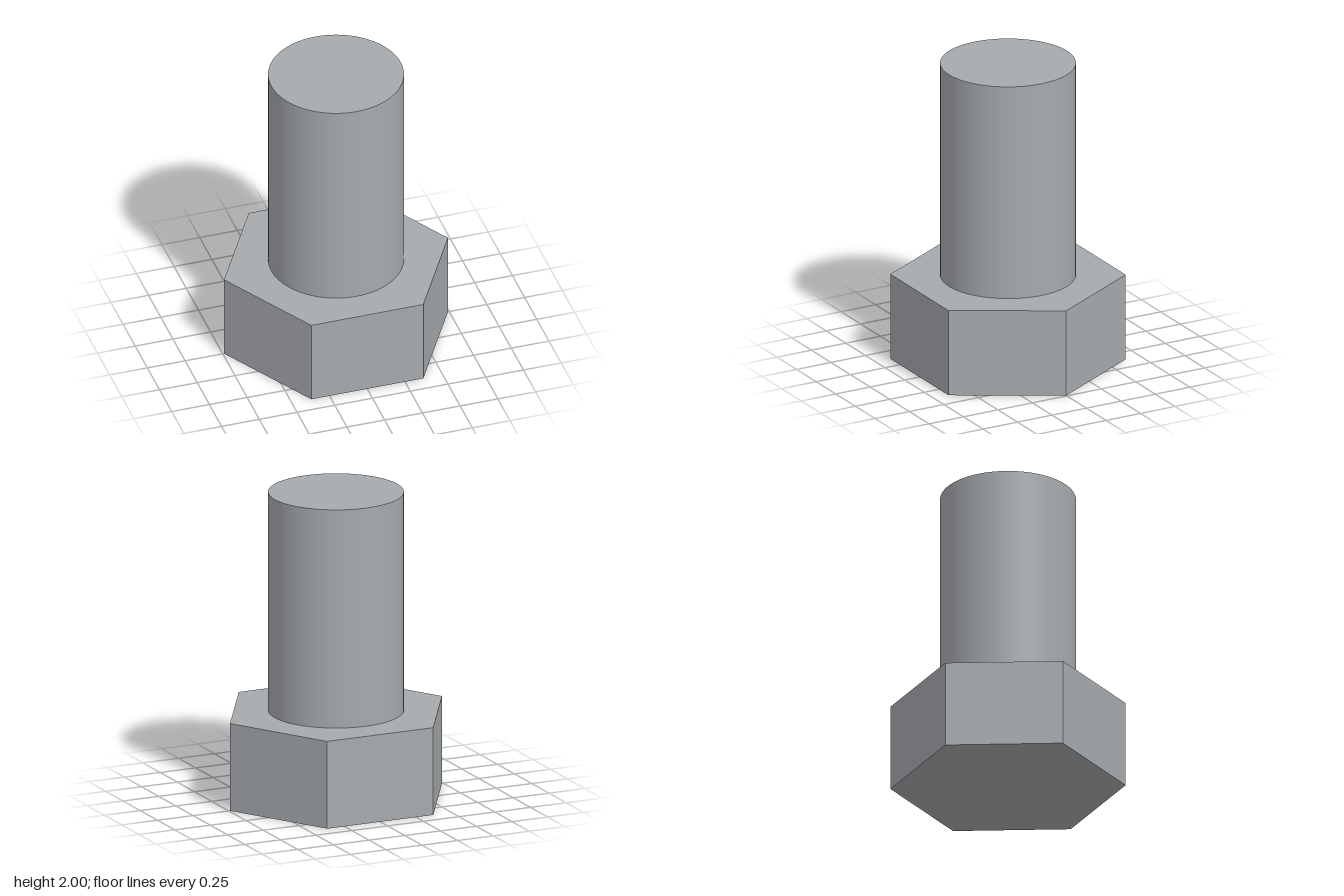
import * as THREE from 'three';

export function createModel() {
  const model = new THREE.Group();
  model.name = 'hexBolt';

  const headHeight = 0.5714, headRadius = 0.7423;
  const shankRadius = 0.4286, totalHeight = 2;

  const steel = new THREE.MeshStandardMaterial({ color: 0xa6aaae });
  steel.name = 'steel grey';

  // Hexagonal head, corners pointing to +x and -x
  const headGeometry = new THREE.CylinderGeometry(headRadius, headRadius, headHeight, 6, 1, false, Math.PI / 6)
    .toNonIndexed();
  headGeometry.computeVertexNormals();
  const head = new THREE.Mesh(headGeometry, steel);
  head.name = 'head';
  head.position.y = headHeight / 2;
  model.add(head);

  // Smooth round shank standing on the head
  const shankHeight = totalHeight - headHeight;
  const shank = new THREE.Mesh(
    new THREE.CylinderGeometry(shankRadius, shankRadius, shankHeight, 96), steel);
  shank.name = 'shank';
  shank.position.y = headHeight + shankHeight / 2;
  model.add(shank);

  return model;
}
